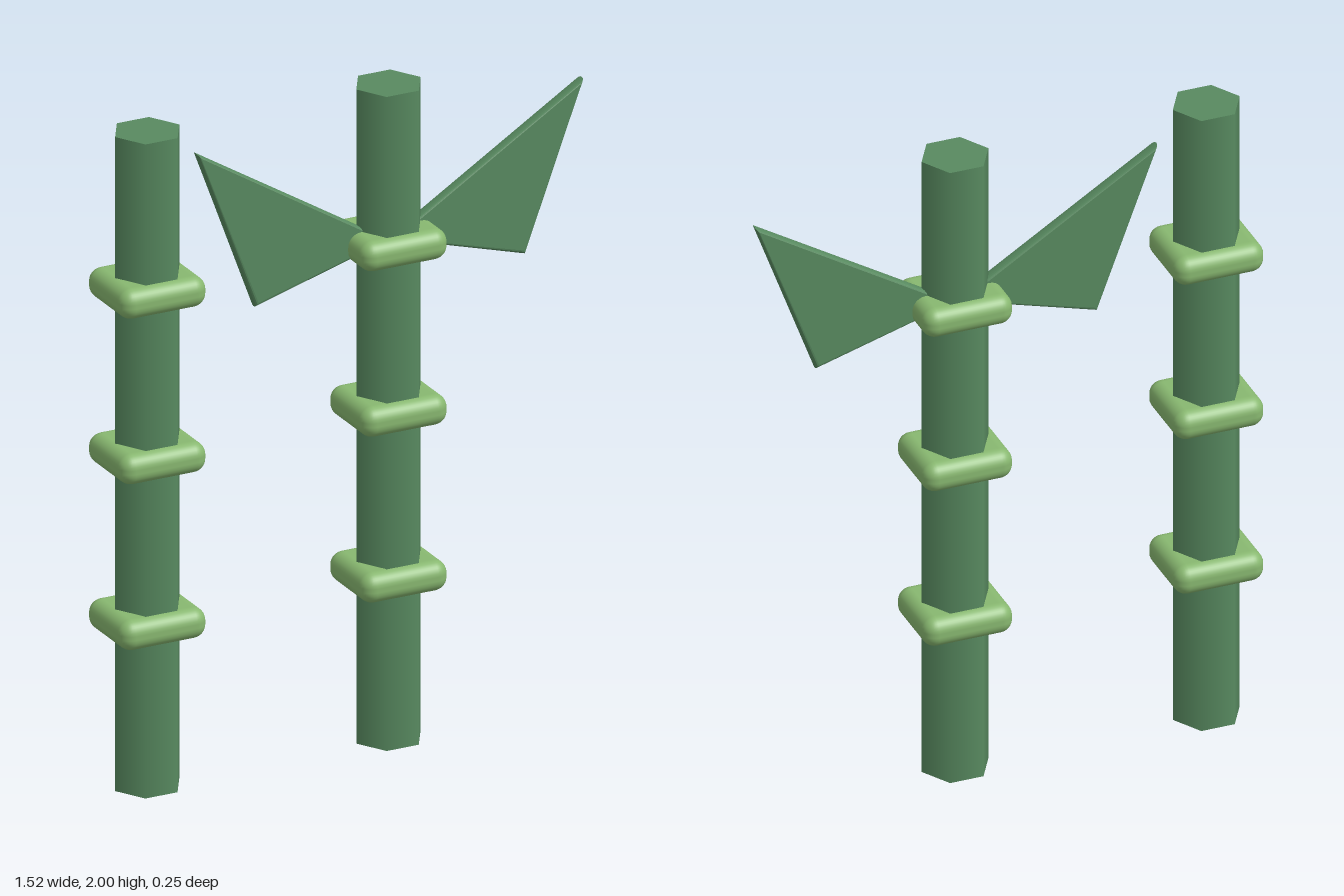
import * as THREE from 'three';
import { RoundedBoxGeometry } from 'three/addons/geometries/RoundedBoxGeometry.js';

export function createModel() {
  const model = new THREE.Group();
  model.name = 'bambooStalks';

  const stalkGreen = new THREE.MeshStandardMaterial({ color: 0x588a60 });
  stalkGreen.name = 'stalkGreen';
  const jointGreen = new THREE.MeshStandardMaterial({ color: 0x88b870 });
  jointGreen.name = 'jointGreen';

  function add(parent, name, geometry, material, x = 0, y = 0, z = 0) {
    const mesh = new THREE.Mesh(geometry, material);
    mesh.name = name;
    mesh.position.set(x, y, z);
    parent.add(mesh);
    return mesh;
  }

  // Six-sided cane with a corner on each side
  const caneGeometry = new THREE.CylinderGeometry(0.102, 0.102, 2, 6);
  caneGeometry.rotateY(Math.PI / 6);
  // Soft square joint collar
  const jointGeometry = new RoundedBoxGeometry(0.274, 0.092, 0.246, 4, 0.04);

  function makeStalk(name, x) {
    const stalk = new THREE.Group();
    stalk.name = name;
    stalk.position.x = x;
    add(stalk, 'cane', caneGeometry, stalkGreen, 0, 1, 0);
    for (const y of [0.51, 1.017, 1.523]) add(stalk, 'joint', jointGeometry, jointGreen, 0, y, 0);
    model.add(stalk);
    return stalk;
  }

  makeStalk('rightStalk', -0.625);
  const leafyStalk = makeStalk('leftStalk', 0.142);

  // Triangular leaves with rounded rims, mirrored about the cane
  for (const side of [-1, 1]) {
    const outline = new THREE.Shape([
      new THREE.Vector2(side * 0.02, 1.528),
      new THREE.Vector2(side * 0.422, 1.415),
      new THREE.Vector2(side * 0.604, 1.89),
    ]);
    const leaf = new THREE.ExtrudeGeometry(outline, {
      depth: 0.004,
      bevelEnabled: true,
      bevelThickness: 0.016,
      bevelSize: 0.012,
      bevelSegments: 4,
    });
    leaf.translate(0, 0, -0.002);
    add(leafyStalk, side < 0 ? 'rightLeaf' : 'leftLeaf', leaf, stalkGreen);
  }

  return model;
}
